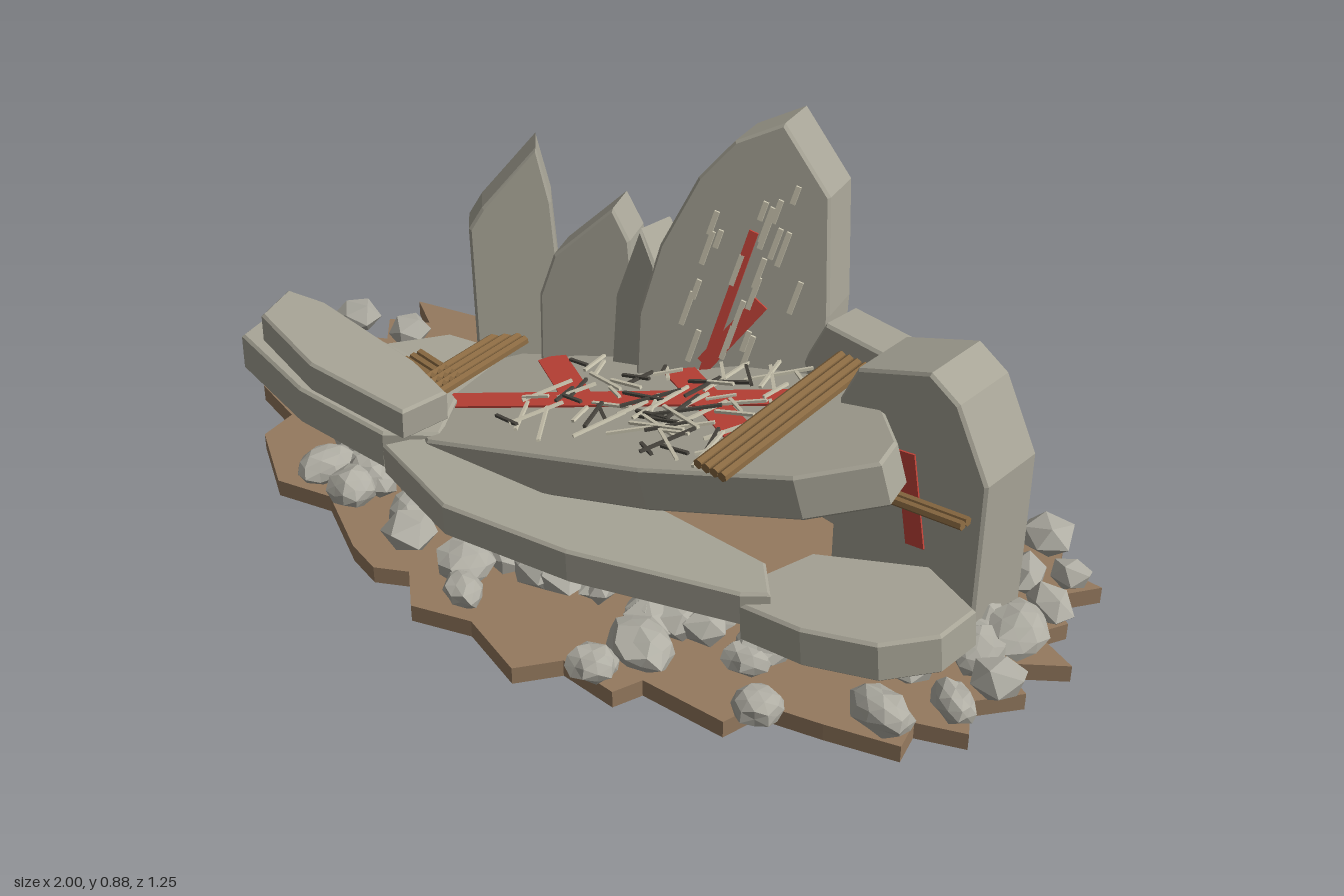
import * as THREE from 'three';

const mat = (color) => new THREE.MeshStandardMaterial({ color, flatShading: true });
const M = {
  earth: mat(0x957a5f), concrete: mat(0xa8a597), rock: mat(0xb0aea4), wood: mat(0x8a6a42),
  red: mat(0xc8453a), pale: mat(0xcdc8b2), dark: mat(0x4a4740),
};

// Seeded random numbers
let seed = 7;
const rand = (a = 0, b = 1) => {
  seed = (seed * 16807) % 2147483647;
  return a + (b - a) * (seed / 2147483647);
};

// Extruded outline, centred on its thickness, with a small chamfer
function plate(pts, t, bevel = 0.006) {
  const shape = new THREE.Shape(pts.map(([x, y]) => new THREE.Vector2(x, y)));
  const geo = new THREE.ExtrudeGeometry(shape, {
    depth: t - 2 * bevel, bevelEnabled: bevel > 0, bevelSegments: 1,
    bevelThickness: bevel, bevelSize: bevel, bevelOffset: -bevel,
  });
  return geo.translate(0, 0, bevel - t / 2);
}

// Slab drawn in its own xy plane, then leaned (x), turned (y) and tilted (z)
function slab(root, name, pts, t, pos, rot) {
  const group = new THREE.Group();
  group.name = name;
  group.add(new THREE.Mesh(plate(pts, t), M.concrete));
  group.position.set(...pos);
  group.rotation.set(...rot, 'ZYX');
  root.add(group);
  return group;
}

// Lying slab from [x, z] corners; returns the group and a map from [x, z] to its top face
function lyingSlab(root, name, pts, t, y, tilt) {
  const xs = pts.map((p) => p[0]), zs = pts.map((p) => p[1]);
  const cx = (Math.min(...xs) + Math.max(...xs)) / 2;
  const cz = (Math.min(...zs) + Math.max(...zs)) / 2;
  const onTop = ([x, z]) => [(x - cx) / Math.cos(tilt), cz - z];
  const group = slab(root, name, pts.map(onTop), t, [cx, y, cz], [-Math.PI / 2, 0, tilt]);
  return { group, onTop };
}

// Flat stroke on a slab's face, from a to b
function stroke(parent, name, a, b, z, w, t, material) {
  const dx = b[0] - a[0], dy = b[1] - a[1];
  const mesh = new THREE.Mesh(new THREE.BoxGeometry(Math.hypot(dx, dy), w, t), material);
  mesh.name = name;
  mesh.position.set((a[0] + b[0]) / 2, (a[1] + b[1]) / 2, z);
  mesh.rotation.z = Math.atan2(dy, dx);
  parent.add(mesh);
}

// Bundle of n parallel rods from a to b, side by side
function rods(root, name, a, b, n, r = 0.011) {
  const p = new THREE.Vector3(...a), q = new THREE.Vector3(...b);
  const dir = q.clone().sub(p);
  const side = new THREE.Vector3(dir.z, 0, -dir.x).normalize();
  for (let i = 0; i < n; i++) {
    const rod = new THREE.Mesh(new THREE.CylinderGeometry(r, r, dir.length(), 6), M.wood);
    rod.name = name;
    rod.position.copy(p).add(q).multiplyScalar(0.5).addScaledVector(side, (i - (n - 1) / 2) * r * 1.8);
    rod.quaternion.setFromUnitVectors(new THREE.Vector3(0, 1, 0), dir.clone().normalize());
    root.add(rod);
  }
}

function rock(root, x, z, size) {
  const mesh = new THREE.Mesh(new THREE.IcosahedronGeometry(1, rand() < 0.5 ? 0 : 1), M.rock);
  mesh.name = 'rubble';
  const pos = mesh.geometry.attributes.position;
  const k = rand(0, 6);
  for (let i = 0; i < pos.count; i++) {
    const px = pos.getX(i), py = pos.getY(i), pz = pos.getZ(i);
    const s = 1 + 0.16 * Math.sin(px * 4 + k) * Math.cos(py * 3 + pz * 5 + k);
    pos.setXYZ(i, px * s, py * s, pz * s);
  }
  mesh.geometry.computeVertexNormals();
  mesh.scale.set(size * rand(0.85, 1.35), Math.min(size * 0.75, 0.042), size * rand(0.75, 1.1));
  mesh.rotation.y = rand(0, 6.28);
  mesh.position.set(x, 0.04 + mesh.scale.y * 0.9, z);
  root.add(mesh);
}

export function createModel() {
  const root = new THREE.Group();
  root.name = 'ruin';

  // Jagged patch of ground
  const rim = [
    [1, 0], [0.9, -0.05], [0.94, -0.11], [0.87, -0.16], [0.95, -0.25], [0.85, -0.26], [0.82, -0.35],
    [0.63, -0.34], [0.6, -0.42], [0.62, -0.52], [0.5, -0.48], [0.4, -0.53], [0.23, -0.59], [0.1, -0.55],
    [-0.1, -0.615], [-0.15, -0.51], [-0.28, -0.53], [-0.4, -0.56], [-0.41, -0.47], [-0.55, -0.45],
    [-0.7, -0.34], [-0.88, -0.31], [-0.8, -0.25], [-0.89, -0.21], [-0.84, -0.14], [-1, -0.07],
    [-0.88, 0], [-0.98, 0.05], [-0.89, 0.1], [-0.95, 0.17], [-0.82, 0.22], [-0.82, 0.31], [-0.68, 0.42],
    [-0.55, 0.4], [-0.4, 0.5], [-0.32, 0.53], [-0.25, 0.5], [-0.18, 0.58], [-0.05, 0.55], [0.1, 0.615],
    [0.17, 0.54], [0.3, 0.56], [0.33, 0.5], [0.52, 0.51], [0.55, 0.43], [0.68, 0.41], [0.83, 0.38],
    [0.82, 0.31], [0.92, 0.28], [0.88, 0.2], [0.96, 0.12], [0.88, 0.07],
  ];
  const ground = new THREE.Mesh(plate(rim.map(([x, z]) => [x, -z]), 0.04, 0), M.earth);
  ground.name = 'ground';
  ground.rotation.x = -Math.PI / 2;
  ground.position.y = 0.02;
  root.add(ground);

  // Loose rubble in the open, then a bed of it under the fallen slabs
  const open = [
    [-0.58, -0.38], [-0.35, -0.47], [-0.32, -0.37], [-0.2, -0.34], [-0.05, -0.57], [0.08, -0.45],
    [0.27, -0.53], [0.36, -0.5], [0.43, -0.51], [0.45, -0.42], [0.57, -0.47], [0.6, -0.28], [0.8, -0.3],
    [0.82, -0.17], [0.89, -0.22], [0.9, -0.1], [0.88, 0], [0.84, 0.1], [0.91, 0.15], [0.87, 0.25],
    [0.77, 0.35], [0.57, 0.47], [0.48, 0.36], [0.24, 0.54], [0.29, 0.45], [-0.1, 0.51], [-0.15, 0.44],
    [-0.3, 0.43], [-0.5, 0.38], [-0.6, 0.35], [-0.93, -0.14], [-0.78, -0.15], [-0.8, -0.01],
    [-0.93, 0.02], [-0.56, -0.27], [0.07, -0.39], [0.5, -0.33],
  ];
  open.forEach(([x, z]) => rock(root, x, z, rand(0.042, 0.062)));
  for (let i = 0; i < 46; i++) {
    const a = (i / 46) * Math.PI + rand(-0.05, 0.05), r = rand(0.72, 0.9);
    rock(root, Math.cos(a) * r * 0.98, Math.sin(a) * r * 0.45, rand(0.04, 0.055));
  }

  // Standing slabs
  const tall = slab(root, 'tallSlab', [[-0.19, 0.04], [-0.205, 0.42], [-0.17, 0.58], [-0.1, 0.74], [-0.03, 0.83],
    [0.07, 0.885], [0.18, 0.75], [0.205, 0.5], [0.215, 0.04]], 0.155, [0.13, 0, -0.11], [-0.21, 0.22, 0]);
  const right = slab(root, 'rightSlab', [[-0.18, 0.04], [-0.18, 0.46], [-0.14, 0.55], [0.03, 0.62], [0.1, 0.58],
    [0.18, 0.43], [0.18, 0.04]], 0.16, [0.645, 0, -0.05], [0, -0.17, 0]);
  slab(root, 'rearSlab', [[-0.13, 0.04], [-0.14, 0.38], [-0.08, 0.51], [0.07, 0.51], [0.13, 0.42], [0.13, 0.04]],
    0.1, [0.42, 0, -0.16], [-0.04, -0.2, 0]);
  slab(root, 'leftSpike', [[-0.09, 0.04], [-0.1, 0.5], [-0.07, 0.55], [0.05, 0.69], [0.08, 0.56], [0.1, 0.3],
    [0.09, 0.04]], 0.085, [-0.425, 0, -0.12], [-0.06, 0.65, 0]);
  slab(root, 'leftSlab', [[-0.1, 0.04], [-0.11, 0.36], [-0.08, 0.46], [0.05, 0.59], [0.09, 0.52], [0.11, 0.35],
    [0.1, 0.04]], 0.11, [-0.245, 0, -0.14], [-0.12, 0.3, 0]);
  slab(root, 'smallSpike', [[-0.05, 0.04], [-0.055, 0.42], [0, 0.6], [0.05, 0.53], [0.06, 0.04]],
    0.1, [-0.1, 0, -0.11], [-0.1, -0.15, 0]);

  // Fallen slabs
  lyingSlab(root, 'leftUpperSlab', [[-0.88, 0.13], [-0.78, 0.12], [-0.48, 0.18], [-0.35, 0.23], [-0.38, 0.34],
    [-0.65, 0.32], [-0.86, 0.24]], 0.075, 0.265, -0.025);
  lyingSlab(root, 'leftLowerSlab', [[-0.95, 0.08], [-0.82, 0.05], [-0.55, 0.07], [-0.4, 0.14], [-0.35, 0.26],
    [-0.45, 0.33], [-0.7, 0.31], [-0.94, 0.23]], 0.095, 0.165, -0.025);
  lyingSlab(root, 'frontSlab', [[-0.44, 0.34], [-0.35, 0.22], [0.1, 0.2], [0.45, 0.25], [0.51, 0.33], [0.46, 0.36],
    [0.1, 0.43], [-0.2, 0.44]], 0.08, 0.165, 0.035);
  lyingSlab(root, 'rightLowSlab', [[0.43, 0.3], [0.5, 0.15], [0.72, 0.08], [0.86, 0.16], [0.84, 0.26], [0.75, 0.34],
    [0.6, 0.37], [0.46, 0.36]], 0.09, 0.165, 0.09);
  lyingSlab(root, 'backLowSlab', [[-0.7, 0.02], [-0.6, -0.09], [-0.4, -0.11], [-0.25, 0], [-0.3, 0.14], [-0.6, 0.12]],
    0.1, 0.125, 0.02);
  const ramp = lyingSlab(root, 'rampSlab', [[-0.5, 0.08], [-0.45, -0.1], [0, -0.13], [0.45, -0.1], [0.58, 0.02],
    [0.66, 0.12], [0.67, 0.2], [0.53, 0.28], [0.2, 0.31], [-0.35, 0.29], [-0.48, 0.2]], 0.095, 0.288, 0.3);

  // Red paint and splinters on the ramp
  [[[-0.3, -0.09], [-0.1, 0.08]], [[-0.42, 0.13], [0.35, 0.0]], [[0.04, -0.08], [0.35, 0.16]]].forEach(([a, b]) =>
    stroke(ramp.group, 'redPaint', ramp.onTop(a), ramp.onTop(b), 0.049, 0.06, 0.006, M.red));
  for (let i = 0; i < 70; i++) {
    const x = 0.08 + rand(-0.3, 0.3), z = 0.08 + rand(-0.17, 0.17);
    const a = rand(0, Math.PI), l = rand(0.03, 0.075);
    const d = [Math.cos(a) * l, Math.sin(a) * l];
    stroke(ramp.group, 'splinter', ramp.onTop([x - d[0], z - d[1]]), ramp.onTop([x + d[0], z + d[1]]),
      0.053 + rand(0, 0.008), 0.007, 0.006, i % 3 ? M.pale : M.dark);
  }

  // Red paint and pale scratches on the standing slabs
  stroke(tall, 'redPaint', [-0.05, 0.32], [0.03, 0.65], 0.079, 0.02, 0.006, M.red);
  stroke(tall, 'redPaint', [-0.05, 0.34], [0.06, 0.5], 0.079, 0.035, 0.006, M.red);
  for (let i = 0; i < 22; i++) {
    const y = rand(0.36, 0.76), x = rand(-0.11, 0.14), l = rand(0.018, 0.04);
    stroke(tall, 'scratch', [x - l * 0.25, y - l], [x + l * 0.25, y + l], 0.08, 0.011, 0.006, M.pale);
  }
  stroke(right, 'redPaint', [0.03, 0.21], [-0.01, 0.42], 0.081, 0.045, 0.006, M.red);

  // Wooden poles lying over and leaning on the slabs
  rods(root, 'poleBundle', [0.43, 0.485, -0.1], [0.37, 0.46, 0.335], 4);
  rods(root, 'poleBundle', [-0.42, 0.23, -0.1], [-0.455, 0.225, 0.17], 4);
  rods(root, 'poleBundle', [-0.56, 0.225, 0.09], [-0.42, 0.225, 0.12], 3);
  rods(root, 'pole', [0.47, 0.3, 0.03], [0.78, 0.345, 0.075], 2, 0.01);
  rods(root, 'pole', [0.5, 0.4, -0.165], [0.8, 0.33, -0.11], 1, 0.013);
  return root;
}
